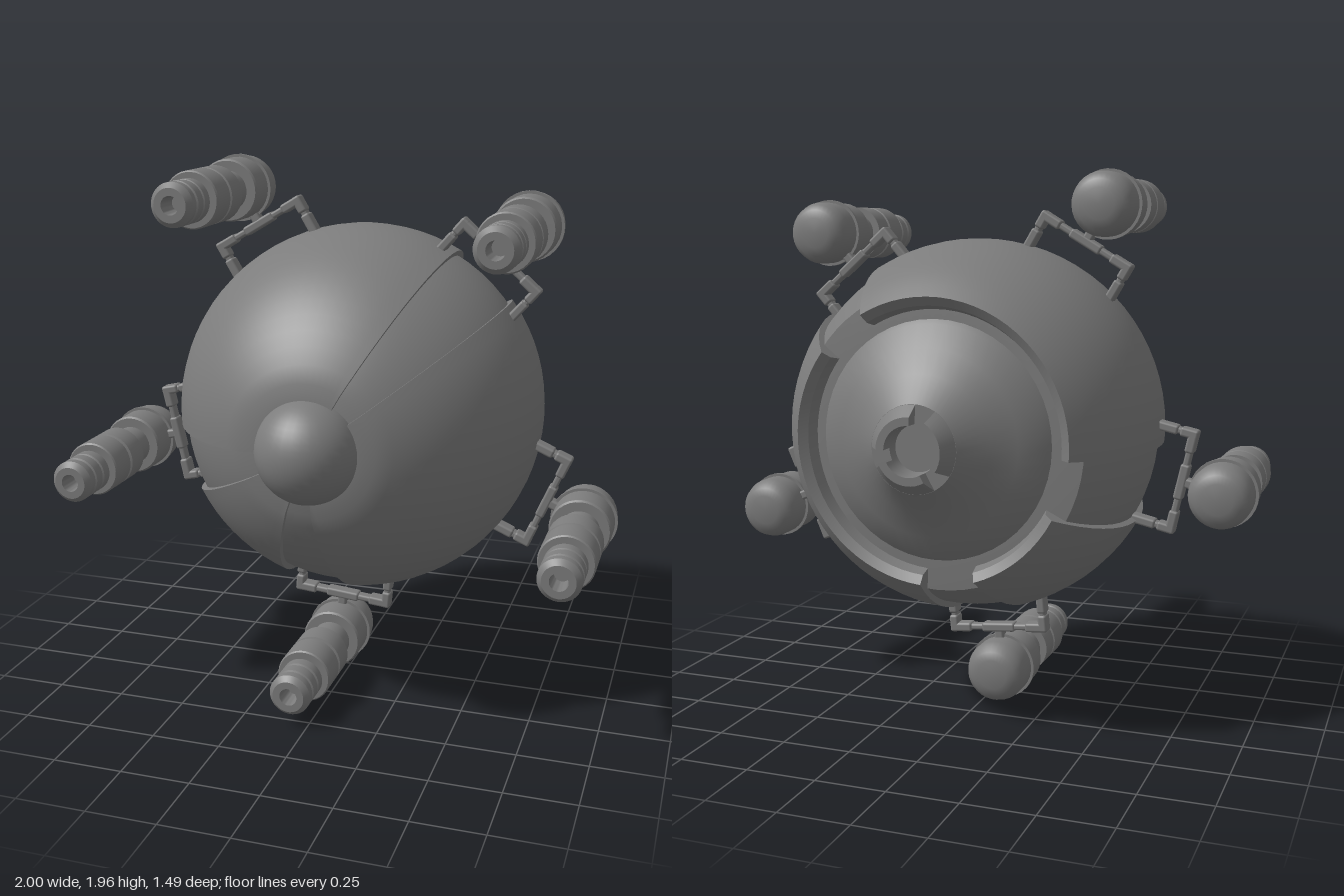
import * as THREE from 'three';
import { toCreasedNormals } from 'three/addons/utils/BufferGeometryUtils.js';
import { RoundedBoxGeometry } from 'three/addons/geometries/RoundedBoxGeometry.js';

const color = 0x7c7c7c;
const material = new THREE.MeshStandardMaterial({ color });
const doubleSided = new THREE.MeshStandardMaterial({ color, side: THREE.DoubleSide });
const rad = THREE.MathUtils.degToRad;
const vec = (p) => new THREE.Vector2(p[0], p[1]);

function mesh(name, geometry, mat = material) {
  const m = new THREE.Mesh(geometry, mat);
  m.name = name;
  return m;
}

// Turned part around the z axis; profile is [radius, z] from back to front
function turned(name, profile, segments) {
  const g = new THREE.LatheGeometry(profile.map(vec), segments).rotateX(Math.PI / 2);
  return mesh(name, toCreasedNormals(g, rad(32)));
}

// Closed profile swept from one angle to another (degrees, counter-clockwise
// from +x as seen from the front), with both cut ends filled
function sector(name, profile, from, to, segments) {
  const group = new THREE.Group();
  group.name = name;
  const points = profile.map(vec);
  const sweep = new THREE.LatheGeometry([...points, points[0].clone()], segments, rad(from + 90), rad(to - from));
  group.add(mesh(name + 'Surface', toCreasedNormals(sweep.rotateX(Math.PI / 2), rad(32))));
  for (const angle of [from, to]) {
    const cut = new THREE.ShapeGeometry(new THREE.Shape(points)).rotateY(rad(angle)).rotateX(Math.PI / 2);
    group.add(mesh(name + 'Edge', cut, doubleSided));
  }
  return group;
}

// Points of the stretched ball profile between two z positions
function ballProfile(radius, half, zFrom, zTo, steps) {
  const out = [];
  const a0 = Math.asin((zFrom + 0.08) / half), a1 = Math.asin((zTo + 0.08) / half);
  for (let i = 0; i <= steps; i++) {
    const a = a0 + (a1 - a0) * i / steps;
    out.push([radius * Math.cos(a), -0.08 + half * Math.sin(a)]);
  }
  return out;
}

function createBody() {
  const body = new THREE.Group();
  body.name = 'body';

  // Inner core, seen in the three grooves
  body.add(turned('core', [
    [0, -0.5], [0.39, -0.51], ...ballProfile(0.656, 0.692, -0.5, 0.57, 20), [0, 0.575],
  ], 64));

  // Rear disc rising into a hollow nozzle
  body.add(turned('rearNozzle', [
    [0, -0.66], [0.08, -0.66], [0.085, -0.695], [0.15, -0.695], [0.24, -0.612],
    [0.32, -0.575], [0.40, -0.525], [0.445, -0.47], [0.445, -0.42],
  ], 48));

  // Nozzle lip, broken by three notches
  const lip = [[0.085, -0.745], [0.113, -0.745], [0.15, -0.694], [0.085, -0.694]];
  for (let i = 0; i < 3; i++)
    body.add(sector('nozzleLip', lip, i * 120 + 1, i * 120 + 93, 12));

  // Three raised outer panels with a thick rear rim
  const panel = [
    ...ballProfile(0.678, 0.71, -0.57, 0.585, 22), [0.16, 0.59], [0.16, 0.55],
    ...ballProfile(0.635, 0.67, -0.46, 0.54, 14).reverse(), [0.445, -0.5], [0.46, -0.55],
  ];
  for (const [from, to] of [[-86, 37], [60, 184], [208, 251]])
    body.add(sector('outerPanel', panel, from, to, Math.round((to - from) / 5)));

  // Front dome
  const dome = mesh('frontDome', new THREE.SphereGeometry(0.182, 32, 24));
  dome.position.z = 0.56;
  body.add(dome);
  return body;
}

// One gun with its U-shaped bracket; local x points away from the body
function createGun() {
  const gun = new THREE.Group();
  gun.name = 'gun';
  const barrel = turned('barrel', [
    [0, -0.187], [0.055, -0.185], [0.085, -0.176], [0.104, -0.158], [0.113, -0.13],
    [0.113, -0.063], [0.123, -0.063], [0.123, -0.05], [0.113, -0.05], [0.113, 0.055], [0.107, 0.062],
    [0.073, 0.062], [0.073, 0.17], [0.1, 0.17], [0.1, 0.262], [0.091, 0.265], [0.091, 0.277],
    [0.1, 0.28], [0.1, 0.385], [0.095, 0.39], [0.068, 0.39], [0.068, 0.4],
    [0.076, 0.403], [0.076, 0.442], [0.07, 0.445], [0.07, 0.453], [0.076, 0.456],
    [0.076, 0.497], [0.07, 0.5], [0.07, 0.51], [0.076, 0.514], [0.076, 0.54],
    [0.058, 0.56], [0.032, 0.56], [0.028, 0.48], [0, 0.48],
  ], 32);
  barrel.position.x = 0.926;
  gun.add(barrel);

  const bracket = new THREE.Group();
  bracket.name = 'bracket';
  bracket.position.z = -0.057;
  const bar = (name, w, h, d, x, y) => {
    const b = mesh(name, new RoundedBoxGeometry(w, h, d, 2, 0.009));
    b.position.set(x, y, 0);
    bracket.add(b);
  };
  bar('crossBar', 0.024, 0.34, 0.04, 0.775, 0);
  bar('crossBarSleeve', 0.034, 0.13, 0.05, 0.775, 0);
  bar('gunStem', 0.07, 0.035, 0.045, 0.805, 0);
  for (const side of [-1, 1]) {
    bar('crossBarEnd', 0.034, 0.085, 0.055, 0.775, side * 0.15);
    bar('bracketLeg', 0.065, 0.033, 0.055, 0.76, side * 0.176);
    bar('legPin', 0.1, 0.024, 0.042, 0.72, side * 0.176);
    bar('legFoot', 0.1, 0.033, 0.055, 0.67, side * 0.176);
  }
  gun.add(bracket);
  return gun;
}

export function createModel() {
  const model = new THREE.Group();
  model.name = 'sphericalPod';
  model.add(createBody());
  // Five guns evenly spaced around the body
  for (let i = 0; i < 5; i++) {
    const gun = createGun();
    gun.rotation.z = rad(48.7 + i * 72);
    model.add(gun);
  }
  model.position.set(0.025, 1.05, 0);
  const root = new THREE.Group();
  root.name = 'model';
  root.add(model);
  return root;
}
